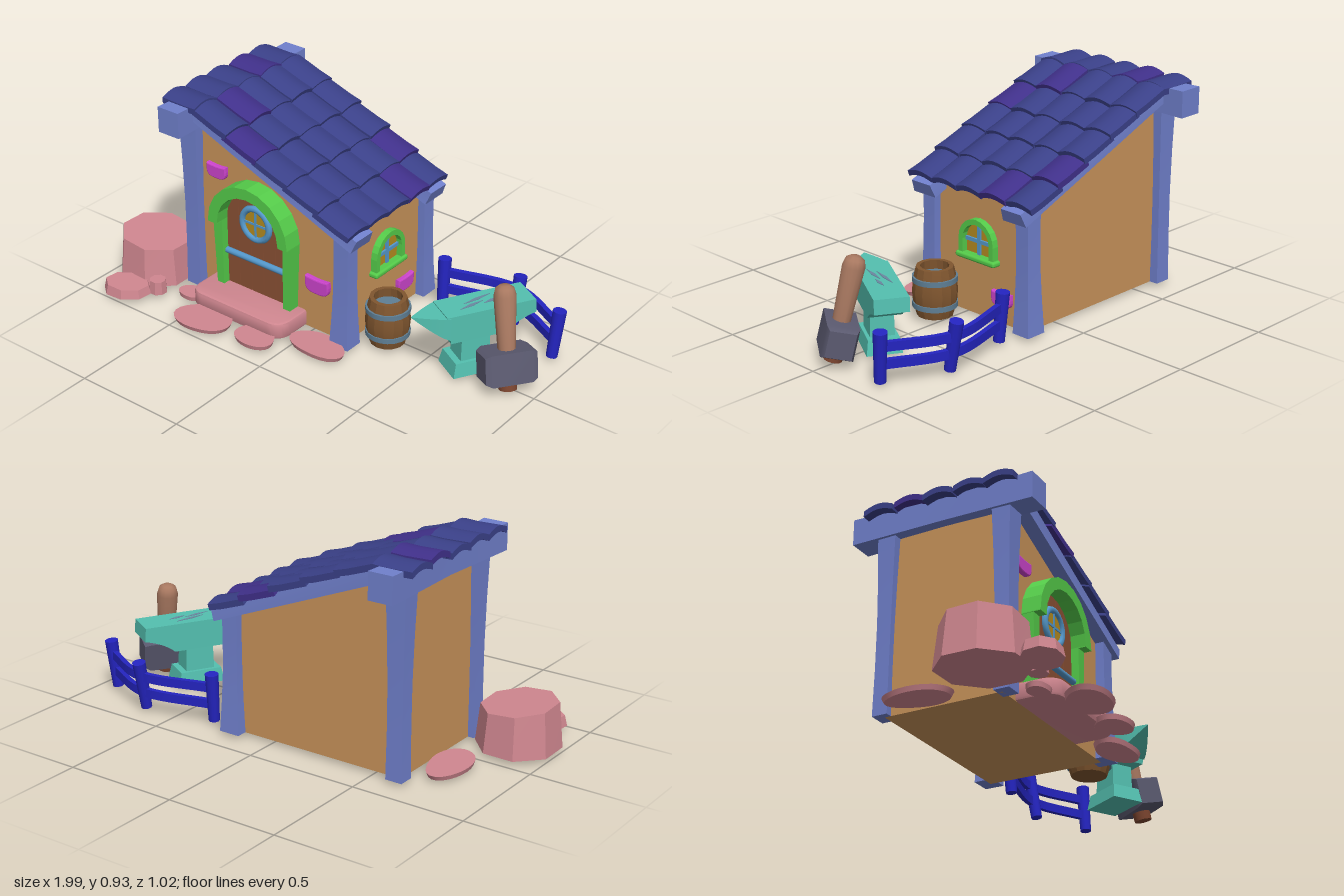
import * as THREE from 'three';
import { toCreasedNormals } from 'three/addons/utils/BufferGeometryUtils.js';
import { RoundedBoxGeometry } from 'three/addons/geometries/RoundedBoxGeometry.js';

const C = {
  wall: 0xc8935a, beam: 0x7080cc, tileA: 0x3a4088, tileB: 0x40308a, door: 0x8a5034, groove: 0x5a3220,
  green: 0x55cc4a, blue: 0x5599cc, gold: 0xb58c20, pink: 0xcc44cc, rock: 0xd08790, teal: 0x54c0b0,
  cut: 0x6a88a0, fence: 0x2424c0, barrel: 0x80562f, hoop: 0x5f7f95, handle: 0xa87860, grip: 0x7d4630, iron: 0x5b5a70,
};
const mats = {};
const mat = (c) => (mats[c] ??= new THREE.MeshStandardMaterial({ color: c, side: THREE.DoubleSide }));

function add(parent, name, geo, color, x = 0, y = 0, z = 0) {
  const m = new THREE.Mesh(geo, mat(color));
  m.name = name;
  m.position.set(x, y, z);
  parent.add(m);
  return m;
}

function group(parent, name, x = 0, y = 0, z = 0) {
  const g = new THREE.Group();
  g.name = name;
  g.position.set(x, y, z);
  parent.add(g);
  return g;
}

// Move each vertex of a geometry by a rule
function bend(geo, rule) {
  const p = geo.attributes.position, v = new THREE.Vector3();
  for (let i = 0; i < p.count; i++) {
    rule(v.fromBufferAttribute(p, i));
    p.setXYZ(i, v.x, v.y, v.z);
  }
  geo.computeVertexNormals();
  return geo;
}

const box = (w, h, d) => new THREE.BoxGeometry(w, h, d);
const vecs = (pts) => pts.map(([x, y]) => new THREE.Vector2(x, y));
const poly = (pts) => new THREE.Shape(vecs(pts));
const lathe = (pts, sides) => new THREE.LatheGeometry(vecs(pts), sides);
const extrude = (shape, depth, bevel = 0) => new THREE.ExtrudeGeometry(shape, {
  depth, bevelEnabled: bevel > 0, bevelSize: bevel, bevelThickness: bevel, bevelSegments: 2, curveSegments: 8,
});

// Half circle of points
const arc = (r, n = 10) => Array.from({ length: n + 1 }, (_, i) => [r * Math.cos(Math.PI * i / n), r * Math.sin(Math.PI * i / n)]);
// Filled arch, and arched band, both with legs going down by "leg"
const archPanel = (r, leg) => poly([[r, -leg], ...arc(r), [-r, -leg]]);
const archBand = (rOut, rIn, leg) => poly([[rOut, -leg], ...arc(rOut), [-rOut, -leg], [-rIn, -leg], ...arc(rIn).reverse(), [rIn, -leg]]);

// Cylinder between two points
function rod(parent, name, a, b, r0, r1, color) {
  const A = new THREE.Vector3(...a), B = new THREE.Vector3(...b), d = B.clone().sub(A);
  const m = add(parent, name, new THREE.CylinderGeometry(r1, r0, d.length(), 12), color);
  m.position.copy(A).add(B).multiplyScalar(0.5);
  m.quaternion.setFromUnitVectors(new THREE.Vector3(0, 1, 0), d.normalize());
}

function buildHouse(root) {
  const g = group(root, 'house');
  add(g, 'walls', extrude(poly([[-0.63, 0.015], [0.185, 0.015], [0.185, 0.535], [-0.63, 0.865]]), 0.52), C.wall, 0, 0, -0.36);

  // Corner posts, waisted in the middle
  for (const [x, h, wb, wt] of [[-0.622, 0.79, 0.075, 0.092], [0.182, 0.53, 0.095, 0.075]]) {
    for (const [z, out] of [[0.165, 1], [-0.36, -1]]) {
      const geo = bend(new THREE.BoxGeometry(1, h, 1, 1, 4, 1), (v) => {
        const t = v.y / h + 0.5, w = wb + (wt - wb) * t - 0.012 * Math.sin(Math.PI * t);
        v.x *= w;
        v.z = v.z * w * 0.9 + out * 0.006 * (1 - t);
      });
      add(g, 'cornerPost', geo, C.beam, x, 0.015 + h / 2, z);
    }
  }

  // Ridge beam with flared ends, and sloping side beams
  add(g, 'ridgeBeam', bend(new THREE.BoxGeometry(0.11, 0.115, 0.825, 1, 1, 4), (v) => {
    const k = 0.88 + 0.12 * Math.abs(v.z) / 0.41;
    v.x *= k;
    v.y *= k;
  }), C.beam, -0.627, 0.838, -0.1);
  for (const z of [0.158, -0.35]) {
    const b = add(g, 'slopeBeam', bend(box(0.93, 0.06, 0.125), (v) => { if (v.x > 0 && v.y > 0) v.z *= 0.85; }), C.beam, -0.172, 0.694, z);
    b.rotation.z = -0.382;
  }

  // Roof: six rows of five arched tiles
  const roof = group(g, 'roofTiles');
  for (let row = 0; row < 6; row++) {
    for (let col = 0; col < 5; col++) {
      const w = 0.137, len = row ? 0.188 : 0.178;
      const wob = 0.012 * Math.sin(row * 5.1 + col * 2.7);
      const geo = bend(new THREE.BoxGeometry(len, 0.026, w, 3, 1, 6), (v) => {
        v.y += 0.018 * Math.cos(Math.PI * v.z / w) - 0.008;
        if (v.x > len * 0.4) v.y += 0.004;
        v.z *= 1 + 0.03 * v.x / len;
      });
      const x = row ? -0.455 + (row - 1) * 0.1555 : -0.627;
      const y = row ? 0.862 - (row - 1) * 0.0655 : 0.895;
      const t = add(roof, 'tile', toCreasedNormals(geo, 0.6), (row * 3 + col * 2 + row * col) % 5 === 1 ? C.tileB : C.tileA,
        x + wob * 0.4, y + wob * 0.3, 0.178 - col * 0.1375);
      t.rotation.set(wob, wob, row ? -0.345 : -0.03);
    }
  }

  // Door: arch, jambs, planks, crossbar and porthole
  const d = group(g, 'door', -0.275, 0.4, 0.155);
  add(d, 'arch', extrude(archBand(0.215, 0.165, 0.004), 0.09), C.green);
  for (const s of [-1, 1]) {
    add(d, 'jamb', extrude(poly([[0.165, 0], [0.163, -0.35], [0.198, -0.35], [0.213, 0]].map(([x, y]) => [s * x, y])), 0.058), C.green);
  }
  add(d, 'doorBacking', extrude(archPanel(0.168, 0.38), 0.012), C.groove);
  const top = (x) => Math.sqrt(0.167 ** 2 - x * x);
  for (let i = 0; i < 5; i++) {
    const a = -0.163 + i * 0.066, b = a + 0.062, m = (a + b) / 2;
    add(d, 'plank', extrude(poly([[a, -0.38], [b, -0.38], [b, top(b)], [m, top(m)], [a, top(a)]]), 0.025), C.door);
  }
  rod(d, 'crossbar', [-0.16, -0.15, 0.035], [0.16, -0.15, 0.035], 0.014, 0.014, C.blue);
  const hole = group(d, 'porthole', 0, 0.025, 0.03);
  add(hole, 'ring', new THREE.TorusGeometry(0.072, 0.015, 8, 24), C.blue);
  add(hole, 'pane', new THREE.CircleGeometry(0.07, 24), C.gold, 0, 0, 0.002);
  add(hole, 'barAcross', box(0.13, 0.01, 0.012), C.blue);
  add(hole, 'barUp', box(0.01, 0.13, 0.012), C.blue);

  // Arched window on the side wall
  const w = group(g, 'sideWindow', 0.18, 0.34, -0.1);
  w.rotation.y = Math.PI / 2;
  add(w, 'frame', extrude(archBand(0.098, 0.075, 0.065), 0.035), C.green);
  add(w, 'pane', extrude(archPanel(0.078, 0.06), 0.009), C.gold);
  add(w, 'barAcross', box(0.15, 0.016, 0.036), C.blue);
  add(w, 'barUp', box(0.016, 0.14, 0.036), C.blue, 0, 0.005, 0);
  add(w, 'sill', new RoundedBoxGeometry(0.22, 0.025, 0.05, 2, 0.01), C.green, 0, -0.07, 0.02);

  // Accent bricks set in the walls
  for (const [x, y, z, s, ry] of [[-0.495, 0.6, 0.155, 0.85, 0], [0.04, 0.24, 0.155, 1, 0], [0.18, 0.125, -0.23, 0.87, Math.PI / 2]]) {
    const shape = new THREE.Shape();
    shape.moveTo(-0.055, 0.028);
    shape.quadraticCurveTo(0, 0.02, 0.055, 0.028);
    shape.bezierCurveTo(0.06, -0.03, 0.045, -0.033, 0, -0.033);
    shape.bezierCurveTo(-0.045, -0.033, -0.06, -0.03, -0.055, 0.028);
    const b = add(g, 'accentBrick', extrude(shape, 0.02, 0.006), C.pink, x, y, z);
    b.scale.set(s, s, 1);
    b.rotation.y = ry;
  }
}

function buildStones(root) {
  const g = group(root, 'stones');
  // Door step with rounded plan
  const s = new THREE.Shape();
  s.moveTo(-0.24, 0.09).lineTo(-0.24, -0.03).quadraticCurveTo(-0.235, -0.085, -0.18, -0.085);
  s.lineTo(0.18, -0.085).quadraticCurveTo(0.235, -0.085, 0.24, -0.03).lineTo(0.24, 0.09);
  const step = add(g, 'doorStep', toCreasedNormals(extrude(s, 0.05, 0.012), 0.7), C.rock, -0.28, 0.027, 0.24);
  step.rotation.x = -Math.PI / 2;

  // Flat stepping stones: x, z, radii
  for (const [x, z, rx, rz] of [[-0.39, 0.4, 0.135, 0.105], [-0.13, 0.375, 0.105, 0.075], [0.115, 0.265, 0.135, 0.085],
    [-0.57, 0.28, 0.06, 0.05], [-0.725, -0.15, 0.09, 0.15]]) {
    const geo = bend(new THREE.CylinderGeometry(0.95, 0.88, 0.02, 24), (v) => {
      const a = Math.atan2(v.z, v.x), k = 1 + 0.07 * Math.sin(2 * a + x * 9) + 0.04 * Math.sin(3 * a);
      v.x *= k * rx;
      v.z *= k * rz;
    });
    add(g, 'steppingStone', toCreasedNormals(geo, 0.6), C.rock, x, 0.022, z);
  }

  // Faceted boulders: x, z, radii, height, top tilt
  for (const [x, z, rx, rz, h, tilt] of [[-0.835, 0.195, 0.178, 0.187, 0.18, 0.1], [-0.81, 0.425, 0.108, 0.085, 0.042, 0.05], [-0.7, 0.35, 0.04, 0.04, 0.06, 0]]) {
    const geo = bend(new THREE.CylinderGeometry(0.9, 1, h, 8), (v) => {
      v.x *= rx;
      v.z *= rz;
      if (v.y > 0) v.y -= tilt * v.x;
    });
    const m = add(g, 'boulder', toCreasedNormals(geo, 0.3), C.rock, x, 0.018 + h / 2, z);
    m.rotation.y = Math.PI / 8;
  }
}

function buildBarrel(root) {
  const g = group(root, 'barrel', 0.308, 0.018, 0.042);
  const staves = [[0, 0], [0.076, 0], [0.09, 0.05], [0.095, 0.105], [0.09, 0.16], [0.078, 0.212], [0.06, 0.212], [0.064, 0.165]];
  add(g, 'staves', toCreasedNormals(lathe(staves, 14), 0.3), C.barrel);
  add(g, 'water', new THREE.CircleGeometry(0.068, 20).rotateX(-Math.PI / 2), C.hoop, 0, 0.172, 0);
  for (const y of [0.05, 0.16]) {
    add(g, 'hoop', toCreasedNormals(lathe([[0.086, -0.011], [0.095, -0.011], [0.095, 0.011], [0.086, 0.011]], 20), 0.6), C.hoop, 0, y, 0);
  }
}

function buildAnvil(root) {
  const g = group(root, 'anvil', 0.68, 0, -0.03);
  g.rotation.y = -2 * Math.PI / 3;
  const s = new THREE.Shape();
  s.moveTo(-0.24, 0.31).lineTo(-0.245, 0.25).quadraticCurveTo(-0.16, 0.23, -0.11, 0.185);
  s.lineTo(0.13, 0.185).lineTo(0.15, 0.31);
  add(g, 'body', extrude(s, 0.14), C.teal, 0, 0, -0.07);
  // Horn narrows to a point near the top face
  add(g, 'horn', bend(new THREE.BoxGeometry(0.14, 0.1, 0.15, 6, 1, 1), (v) => {
    const k = 1 - 0.97 * Math.max(0, v.x / 0.14 + 0.5) ** 1.25;
    v.z *= k;
    v.y = 0.305 - (0.05 - v.y) * k;
  }), C.teal, 0.205, 0, 0);
  const taper = (w, h, d, k) => bend(box(w, h, d), (v) => {
    if (v.y > 0) { v.x *= k; v.z *= k; }
  });
  add(g, 'waist', taper(0.13, 0.12, 0.1, 0.95), C.teal, 0.01, 0.13, 0);
  add(g, 'foot', taper(0.21, 0.062, 0.145, 0.88), C.teal, 0.01, 0.046, 0);
  // Scratches on the top face
  for (const [x, z, l] of [[-0.02, 0.02, 0.07], [0.02, -0.015, 0.06], [-0.07, -0.01, 0.04]]) {
    const m = add(g, 'scratch', extrude(poly([[-l, 0], [0, -0.008], [l, 0], [0, 0.008]]), 0.002), C.cut, x, 0.31, z);
    m.rotation.set(-Math.PI / 2, 0, 0.25);
  }
}

function buildHammer(root) {
  const g = group(root, 'hammer');
  // Leaning frame: y along the handle, x along the head
  const A = new THREE.Vector3(0.885, 0.012, 0.015), up = new THREE.Vector3(0.808, 0.42, -0.045).sub(A), len = up.length();
  up.normalize();
  const side = new THREE.Vector3(-0.58, 0, 0.81).projectOnPlane(up).normalize();
  g.quaternion.setFromRotationMatrix(new THREE.Matrix4().makeBasis(side, up, side.clone().cross(up)));
  g.position.copy(A);
  const handle = [[0, 0.1], [0.034, 0.1], [0.046, len - 0.03], [0.038, len], [0.022, len + 0.012], [0, len + 0.014]];
  add(g, 'handle', toCreasedNormals(lathe(handle, 14), 0.8), C.handle);
  add(g, 'handleEnd', new THREE.CylinderGeometry(0.04, 0.038, 0.06, 14), C.grip, 0, 0.025, 0);
  // Head with chamfered striking faces
  add(g, 'head', bend(new THREE.BoxGeometry(0.22, 0.135, 0.13, 3, 1, 1), (v) => {
    if (Math.abs(v.x) > 0.1) { v.y *= 0.82; v.z *= 0.82; } else v.x *= 2.3;
  }), C.iron, 0, 0.1, 0);
}

function buildFence(root) {
  const g = group(root, 'fence');
  // Posts: foot x, z and top x, z
  const posts = [[0.32, -0.335, 0.315, -0.352], [0.645, -0.39, 0.645, -0.43], [0.905, -0.28, 0.917, -0.3]];
  for (const [x0, z0, x1, z1] of posts) rod(g, 'fencePost', [x0, 0.015, z0], [x1, 0.228, z1], 0.024, 0.029, C.fence);
  // Two curved rails through the posts
  for (const y of [0.09, 0.165]) {
    const k = y / 0.228;
    const curve = new THREE.CatmullRomCurve3(posts.map(([x0, z0, x1, z1]) => new THREE.Vector3(x0 + (x1 - x0) * k, y, z0 + (z1 - z0) * k)));
    const geo = bend(new THREE.BoxGeometry(1, 0.038, 0.022, 14, 1, 1), (v) => {
      const u = v.x + 0.5, p = curve.getPoint(u), t = curve.getTangent(u);
      v.set(p.x - t.z * v.z, p.y + v.y, p.z + t.x * v.z);
    });
    add(g, 'fenceRail', geo, C.fence);
  }
}

export function createModel() {
  const root = new THREE.Group();
  root.name = 'smithyHut';
  [buildHouse, buildStones, buildBarrel, buildAnvil, buildHammer, buildFence].forEach((build) => build(root));
  return root;
}
